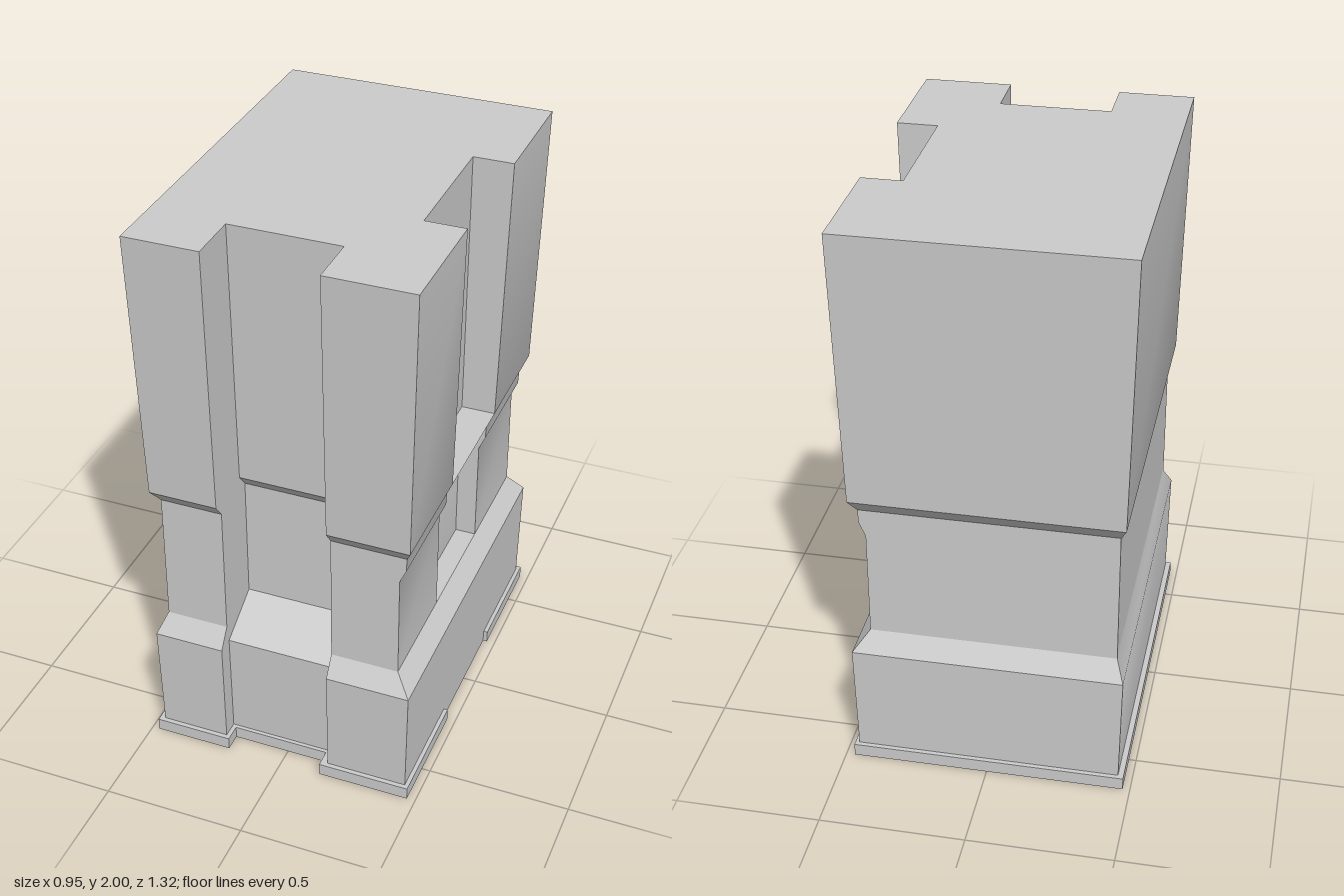
import * as THREE from 'three';
import { toCreasedNormals } from 'three/addons/utils/BufferGeometryUtils.js';

const material = new THREE.MeshStandardMaterial({ color: 0xcccccc, side: THREE.DoubleSide });

// Channel side walls on the front
const CH_L = -0.215, CH_R = 0.17;

// Cross-sections: y, left half-width, right half-width, half-depth,
// channel back z, pocket back x, pocket half-width
const sections = [
  [0.00, 0.455, 0.455, 0.638, 0.578, 0.455, 0.21],
  [0.44, 0.463, 0.463, 0.645, 0.585, 0.463, 0.21],
  [0.51, 0.435, 0.408, 0.597, 0.455, 0.408, 0.21],
  [0.51, 0.435, 0.408, 0.597, 0.455, 0.335, 0.21],
  [0.535, 0.435, 0.408, 0.597, 0.41, 0.335, 0.21],
  [0.89, 0.435, 0.408, 0.597, 0.41, 0.335, 0.21],
  [0.94, 0.435, 0.430, 0.597, 0.41, 0.315, 0.21],
  [0.99, 0.435, 0.432, 0.597, 0.41, 0.30, 0.21],
  [0.99, 0.435, 0.432, 0.597, 0.41, 0.432, 0.21],
  [1.04, 0.457, 0.455, 0.635, 0.45, 0.455, 0.225],
  [1.04, 0.457, 0.455, 0.635, 0.45, 0.335, 0.225],
  [2.00, 0.477, 0.475, 0.662, 0.475, 0.335, 0.235],
];

// Outline of one section, counter-clockwise from above
function outline([, xl, xr, z, c, p, w]) {
  return [
    [-xl, z], [CH_L, z], [CH_L, c], [CH_R, c], [CH_R, z], [xr, z],
    [xr, w], [p, w], [p, -w], [xr, -w], [xr, -z], [-xl, -z],
  ];
}

// Skin the sections, leaving out triangles with no area
function loftBody() {
  const pos = [];
  const tri = new THREE.Triangle();
  const add = (a, b, c) => {
    tri.set(a, b, c);
    if (tri.getArea() > 1e-7) for (const v of [a, b, c]) pos.push(v.x, v.y, v.z);
  };
  const rings = sections.map(s => outline(s).map(([x, z]) => new THREE.Vector3(x, s[0], z)));
  for (let r = 0; r + 1 < rings.length; r++) {
    const lo = rings[r], hi = rings[r + 1];
    for (let i = 0; i < lo.length; i++) {
      const j = (i + 1) % lo.length;
      add(lo[i], lo[j], hi[j]);
      add(lo[i], hi[j], hi[i]);
    }
  }
  const geo = new THREE.BufferGeometry();
  geo.setAttribute('position', new THREE.Float32BufferAttribute(pos, 3));
  return toCreasedNormals(geo, 0.55);
}

const planShape = pts => new THREE.Shape(pts.map(([x, z]) => new THREE.Vector2(x, -z)));

export function createModel() {
  const group = new THREE.Group();
  const add = (name, geo) => {
    const mesh = new THREE.Mesh(geo, material);
    mesh.name = name;
    group.add(mesh);
    return mesh;
  };

  // Hollow casing, open underneath
  add('casing', loftBody());

  // Flat top
  const top = new THREE.ShapeGeometry(planShape(outline(sections[sections.length - 1])));
  add('topPlate', top.rotateX(-Math.PI / 2)).position.y = 2;

  // Base lip around the outline, interrupted on the right side
  const lip = new THREE.ExtrudeGeometry(planShape([
    [0.47, 0.23], [0.47, 0.655], [0.145, 0.655], [0.145, 0.592], [-0.2, 0.592], [-0.2, 0.655],
    [-0.475, 0.655], [-0.475, -0.655], [0.47, -0.655], [0.47, -0.23],
    [0.445, -0.23], [0.445, -0.628], [-0.447, -0.628], [-0.447, 0.628], [-0.225, 0.628],
    [-0.225, 0.567], [0.18, 0.567], [0.18, 0.628], [0.445, 0.628], [0.445, 0.23],
  ]), { depth: 0.045, bevelEnabled: false });
  add('baseLip', lip.rotateX(-Math.PI / 2));

  // Small inner tab behind the front channel
  add('innerTab', new THREE.BoxGeometry(0.36, 0.02, 0.1)).position.set(-0.025, 0.03, 0.53);

  return group;
}
